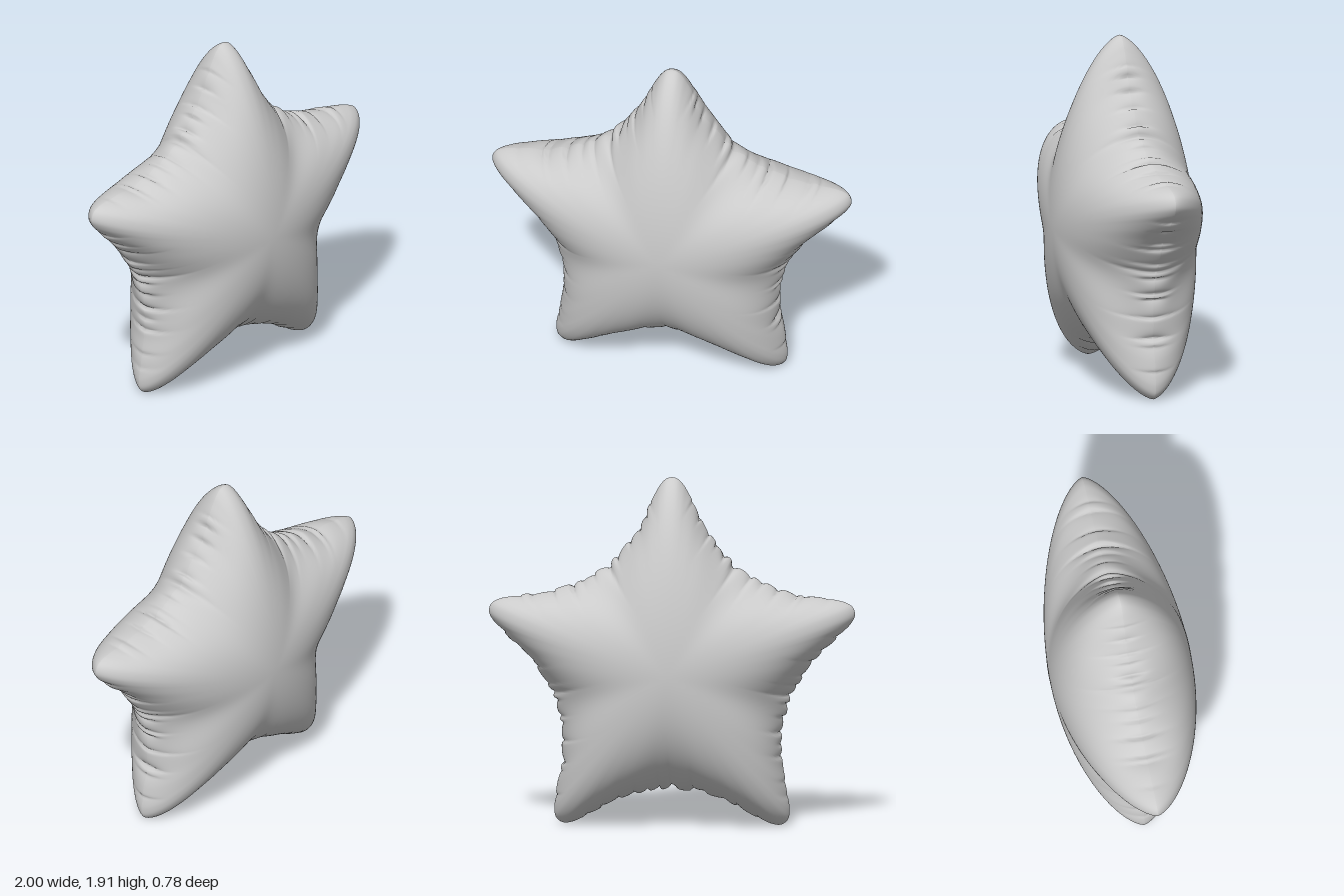
import * as THREE from 'three';

const CY = 0.865;      // height of the star's centre
const DEPTH = 0.39;    // half thickness at the centre
const AROUND = 700;    // steps along the seam
const RINGS = 36;      // steps from the centre to the seam
const ARM = Math.PI * 2 / 5;

// small seeded generator for the pucker layout
let seed = 7;
const rand = () => (seed = (seed * 16807) % 2147483647) / 2147483647;

// seam outline: half an arm as [degrees from the tip, radius], mirrored and repeated
function seamPoints() {
  const half = [[1.6, 1.043], [3.4, 1.012], [5.2, 0.965], [8, 0.895], [12.3, 0.8],
    [16.5, 0.748], [21, 0.71], [26.2, 0.682], [31, 0.668]];
  const arm = [
    ...half.slice().reverse().map(([a, r]) => [-a, r]),
    [0, 1.05], ...half, [36, 0.663]];
  const pts = [];
  for (let k = 0; k < 5; k++) {
    for (const [a, r] of arm) {
      const t = Math.PI / 2 + k * ARM + THREE.MathUtils.degToRad(a);
      pts.push(new THREE.Vector3(r * Math.cos(t), r * Math.sin(t), 0));
    }
  }
  return new THREE.CatmullRomCurve3(pts, true).getSpacedPoints(AROUND).slice(0, AROUND);
}

// puckers of each edge: position, width on either side, depth and reach over the surface
function makePuckers() {
  const edges = [];
  for (let k = 0; k < 5; k++) {
    const middle = k === 0 ? 0 : (rand() - 0.5) * 0.16;
    const list = [{ q: middle, left: 0.02, right: 0.02, d: 0.03, reach: 0.28 }];
    for (let i = 0; i < 12; i++) {
      const w = 0.008 + 0.01 * rand();
      const lean = rand() < 0.5 ? 0.5 : 2;
      list.push({
        q: -0.5 + (i + 0.15 + 0.7 * rand()) / 12,
        left: w * lean,
        right: w / lean,
        d: 0.014 + 0.02 * rand(),
        reach: 0.07 + 0.17 * rand() * rand(),
      });
    }
    edges.push(list);
  }
  return edges;
}

// one inflated half; side is +1 for the front and -1 for the back
function halfGeometry(side, seam, puckers) {
  const pos = [0, 0, side * DEPTH];
  const index = [];
  for (let i = 1; i <= RINGS; i++) {
    const a = (i / RINGS) * Math.PI / 2;
    const s = Math.sin(a);
    for (const p of seam) {
      const t = Math.atan2(p.y, p.x);
      const wave = Math.cos(5 * (t - Math.PI / 2));
      const c = (1 + wave) / 2;   // 1 on an arm's ridge, 0 in a valley

      // contours go from round at the centre, over a soft star, to the seam
      const soft = 0.85 + 0.19 * Math.sqrt(s) * wave;
      const r = s * THREE.MathUtils.lerp(soft, Math.hypot(p.x, p.y), s ** 3);
      let x = r * Math.cos(t), y = r * Math.sin(t);
      const z = i === RINGS ? 0 : DEPTH * Math.pow(Math.cos(a), 2 * (0.6 + 0.08 * c));

      // pull the puckers in towards the valley, and swell the seam between them
      const k = ((Math.round((t + Math.PI / 2) / ARM) % 5) + 5) % 5;
      const v = -Math.PI / 2 + k * ARM;
      const q = -x * Math.sin(v) + y * Math.cos(v);
      let pull = -0.012 * Math.exp(-((z / 0.15) ** 2));
      for (const g of puckers[k]) {
        const w = q < g.q ? g.left : g.right;
        pull += g.d * Math.exp(-Math.abs(q - g.q) / w) * Math.exp(-((z / g.reach) ** 2));
      }
      pull *= s ** 4 * (1 - c ** 8);
      x -= pull * Math.cos(v);
      y -= pull * Math.sin(v);
      pos.push(x, y, side * z);
    }
  }
  const face = (a, b, c) => (side > 0 ? index.push(a, b, c) : index.push(a, c, b));
  for (let j = 0; j < AROUND; j++) {
    const n = (j + 1) % AROUND;
    face(0, 1 + j, 1 + n);
    for (let i = 0; i < RINGS - 1; i++) {
      const r0 = 1 + i * AROUND, r1 = r0 + AROUND;
      face(r0 + j, r1 + j, r1 + n);
      face(r0 + j, r1 + n, r0 + n);
    }
  }
  const geo = new THREE.BufferGeometry();
  geo.setAttribute('position', new THREE.Float32BufferAttribute(pos, 3));
  geo.setIndex(index);
  geo.computeVertexNormals();
  return geo;
}

export function createModel() {
  seed = 7;
  const group = new THREE.Group();
  group.name = 'starBalloon';
  const material = new THREE.MeshStandardMaterial({ color: 0xcccccc });
  const seam = seamPoints();
  const puckers = makePuckers();
  for (const [name, side] of [['frontHalf', 1], ['backHalf', -1]]) {
    const mesh = new THREE.Mesh(halfGeometry(side, seam, puckers), material);
    mesh.name = name;
    mesh.position.y = CY;
    group.add(mesh);
  }
  return group;
}
